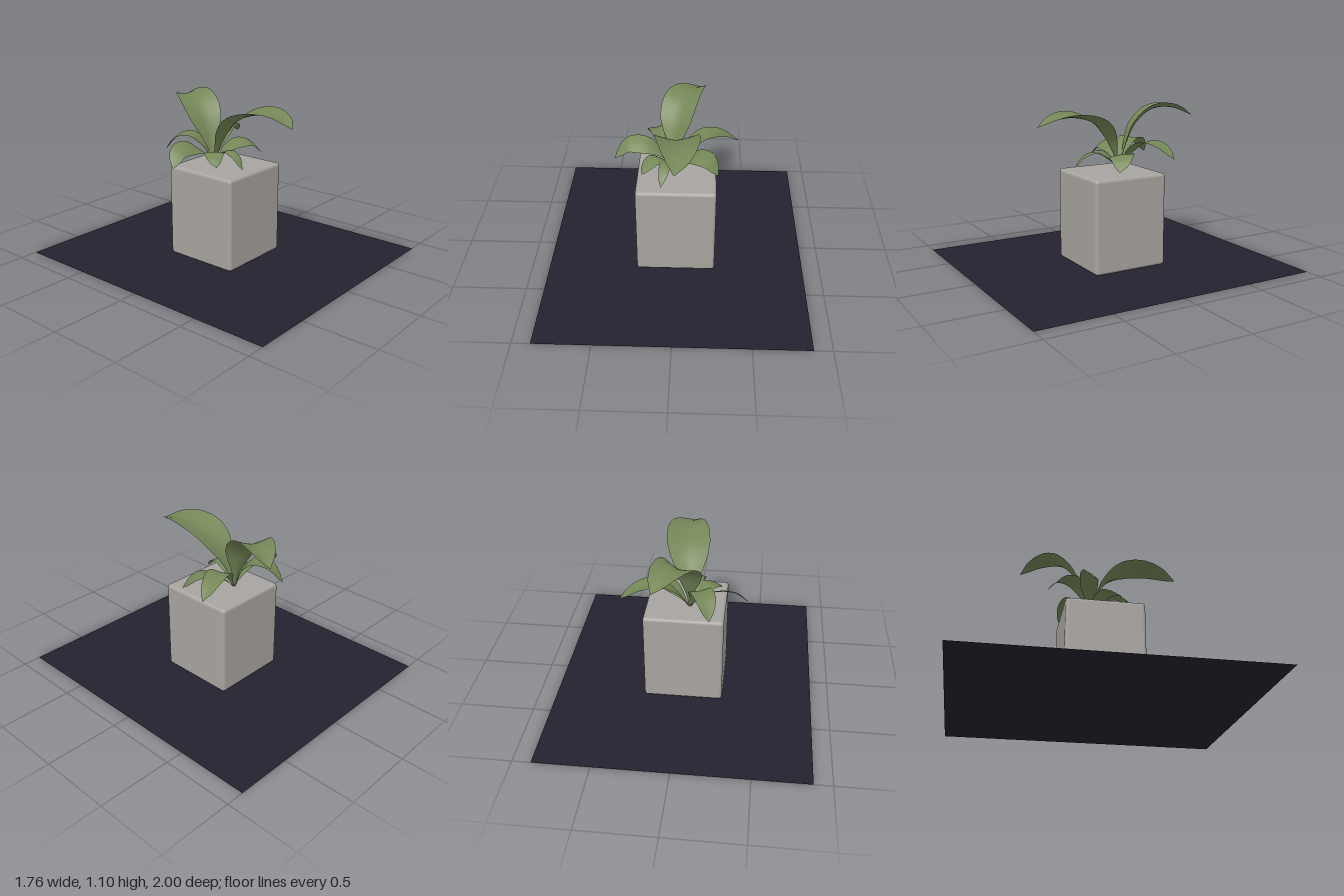
import * as THREE from 'three';
import { RoundedBoxGeometry } from 'three/addons/geometries/RoundedBoxGeometry.js';

const UP = new THREE.Vector3(0, 1, 0);
const BASE = [-0.03, 0.635, -0.08];
// relative half width from stalk to tip
const WIDTHS = [0.08, 0.13, 0.34, 0.62, 0.87, 0.99, 1, 0.92, 0.75, 0.48, 0];

// Arching blade: a midrib curve swept with a cupped cross-section.
function leafGeometry(points, halfWidth, cup, roll) {
  const rows = 30, cols = 8;
  const curve = new THREE.CatmullRomCurve3(
    [BASE, ...points].map((p) => new THREE.Vector3(...p)));
  const heading = curve.getPoint(1).sub(curve.getPoint(0)).setY(0).normalize();
  const flatSide = new THREE.Vector3().crossVectors(heading, UP);
  const positions = [], index = [];
  for (let i = 0; i <= rows; i++) {
    const t = i / rows;
    const centre = curve.getPointAt(t);
    const tangent = curve.getTangentAt(t);
    const side = flatSide.clone().addScaledVector(tangent, -flatSide.dot(tangent)).normalize();
    side.applyAxisAngle(tangent, roll * Math.min(1, t * 2));
    const normal = new THREE.Vector3().crossVectors(side, tangent);
    const f = t * (WIDTHS.length - 1);
    const k = Math.min(Math.floor(f), WIDTHS.length - 2);
    const w = halfWidth * THREE.MathUtils.lerp(WIDTHS[k], WIDTHS[k + 1], f - k);
    for (let j = 0; j <= cols; j++) {
      const u = (j / cols) * 2 - 1;
      const p = centre.clone().addScaledVector(side, u * w)
        .addScaledVector(normal, cup * w * Math.pow(Math.abs(u), 1.4));
      positions.push(p.x, p.y, p.z);
      if (i < rows && j < cols) {
        const a = i * (cols + 1) + j, b = a + cols + 1;
        index.push(a, a + 1, b, a + 1, b + 1, b);
      }
    }
  }
  const g = new THREE.BufferGeometry();
  g.setAttribute('position', new THREE.Float32BufferAttribute(positions, 3));
  g.setIndex(index);
  g.computeVertexNormals();
  return g;
}

// midrib points after the shared base, half width, cup and roll
const LEAVES = [
  { name: 'tallFrontLeaf', w: 0.145, cup: 0.25, roll: 0,
    points: [[-0.02, 0.85, 0.01], [0, 0.97, 0.13], [0.02, 1.02, 0.29], [0.02, 1.015, 0.42], [0, 0.97, 0.55]] },
  { name: 'tallBackLeaf', w: 0.13, cup: 0.25, roll: -0.1,
    points: [[-0.02, 0.79, -0.12], [0, 0.95, -0.19], [0.04, 1.05, -0.3], [0.1, 1.06, -0.42], [0.16, 1.005, -0.55]] },
  { name: 'leftLeaf', w: 0.075, cup: 0.1, roll: 0,
    points: [[0.07, 0.77, -0.11], [0.18, 0.845, -0.15], [0.3, 0.835, -0.195], [0.42, 0.76, -0.23]] },
  { name: 'rightLeaf', w: 0.07, cup: -0.1, roll: -0.55,
    points: [[-0.11, 0.73, -0.09], [-0.21, 0.785, -0.105], [-0.33, 0.785, -0.11], [-0.43, 0.69, -0.08]] },
  { name: 'backRightLeaf', w: 0.075, cup: 0.1, roll: 0,
    points: [[-0.07, 0.77, -0.13], [-0.11, 0.835, -0.2], [-0.15, 0.82, -0.29], [-0.18, 0.72, -0.38]] },
  { name: 'frontRightLeaf', w: 0.065, cup: -0.1, roll: 0,
    points: [[-0.09, 0.72, -0.03], [-0.14, 0.76, 0.02], [-0.19, 0.74, 0.07], [-0.23, 0.69, 0.12]] },
  { name: 'frontLeftLeaf', w: 0.085, cup: -0.1, roll: 0.15,
    points: [[0.06, 0.735, -0.04], [0.15, 0.775, 0.01], [0.22, 0.76, 0.05], [0.28, 0.68, 0.1]] },
  { name: 'lowFrontLeaf', w: 0.04, cup: -0.1, roll: 0,
    points: [[-0.05, 0.73, 0.01], [-0.07, 0.765, 0.09], [-0.085, 0.735, 0.17], [-0.1, 0.665, 0.23]] },
];

export function createModel() {
  const model = new THREE.Group();
  model.name = 'pottedPlant';
  const leafGreen = new THREE.MeshStandardMaterial({ color: 0x758758, side: THREE.DoubleSide });
  leafGreen.name = 'leafGreen';
  const potGrey = new THREE.MeshStandardMaterial({ color: 0xa8a4a0 });
  potGrey.name = 'potGrey';
  const darkFloor = new THREE.MeshStandardMaterial({ color: 0x23222e, side: THREE.DoubleSide });
  darkFloor.name = 'darkFloor';

  const add = (name, geometry, material, parent = model) => {
    const mesh = new THREE.Mesh(geometry, material);
    mesh.name = name;
    parent.add(mesh);
    return mesh;
  };

  // flat base sheet
  add('baseSheet', new THREE.PlaneGeometry(1.76, 2).rotateX(-Math.PI / 2), darkFloor);

  // square block pot with softened edges
  add('pot', new RoundedBoxGeometry(0.535, 0.638, 0.535, 4, 0.022), potGrey)
    .position.y = 0.321;

  // rosette of leaves
  const plant = new THREE.Group();
  plant.name = 'plant';
  model.add(plant);
  for (const l of LEAVES) add(l.name, leafGeometry(l.points, l.w, l.cup, l.roll), leafGreen, plant);

  return model;
}
